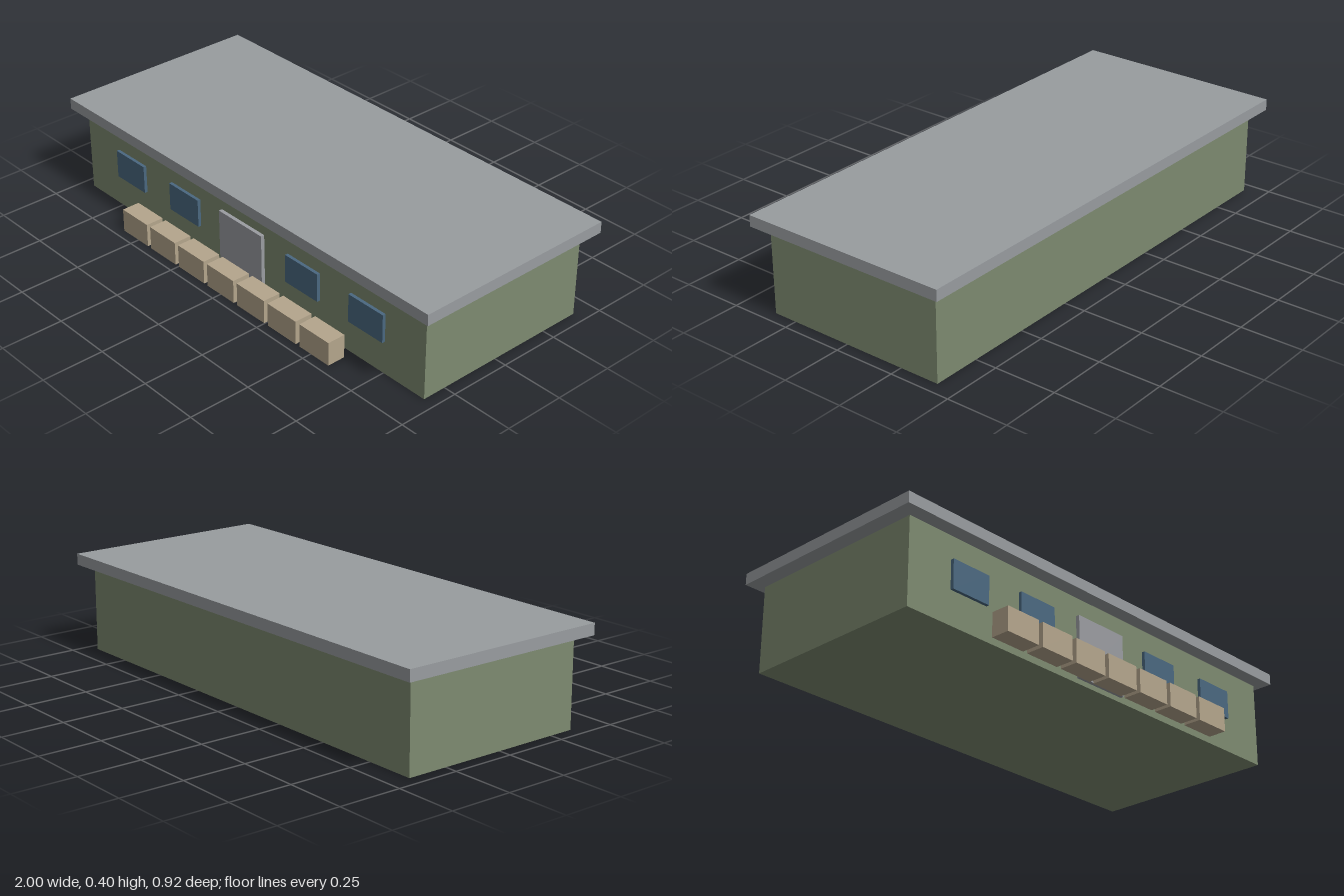
import * as THREE from 'three';

const paint = (name, color) => {
  const m = new THREE.MeshStandardMaterial({ color });
  m.name = name;
  return m;
};

export function createModel() {
  const model = new THREE.Group();
  model.name = 'barracks';

  const wallGreen = paint('wall green', 0x7d8a70);
  const roofGrey = paint('roof grey', 0x989c9f);
  const doorGrey = paint('door grey', 0x9a9ca1);
  const windowBlue = paint('window blue', 0x4a6880);
  const sandTan = paint('sand tan', 0xb4a58c);

  // Box given by its low and high corners
  function block(name, material, [x0, y0, z0], [x1, y1, z1]) {
    const mesh = new THREE.Mesh(new THREE.BoxGeometry(x1 - x0, y1 - y0, z1 - z0), material);
    mesh.position.set((x0 + x1) / 2, (y0 + y1) / 2, (z0 + z1) / 2);
    mesh.name = name;
    model.add(mesh);
  }

  // Main building, with a thin shadow gap under the roof slab
  block('walls', wallGreen, [-0.95, 0, -0.413], [0.95, 0.343, 0.348]);
  block('roof', roofGrey, [-1, 0.351, -0.462], [1, 0.396, 0.396]);

  // Front door and four windows
  block('door', doorGrey, [-0.12, 0.02, 0.346], [0.12, 0.267, 0.363]);
  for (const x of [-0.668, -0.335, 0.335, 0.668]) {
    block('window', windowBlue, [x - 0.086, 0.135, 0.346], [x + 0.086, 0.25, 0.361]);
  }

  // Row of sandbag blocks in front
  for (let i = -3; i <= 3; i++) {
    const x = i * 0.172;
    block('sandbag', sandTan, [x - 0.076, 0, 0.387], [x + 0.076, 0.096, 0.462]);
  }

  return model;
}
